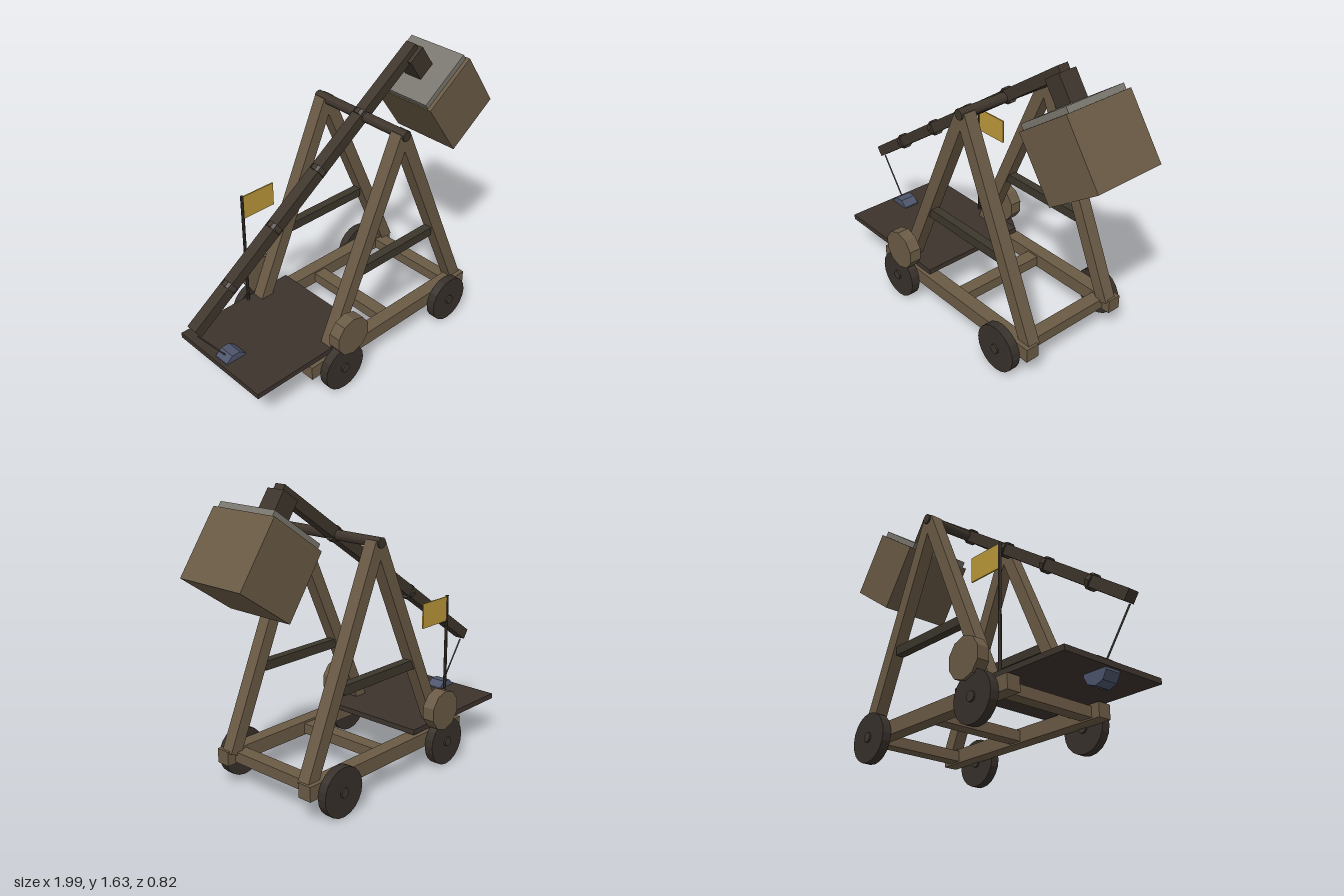
import * as THREE from 'three';

export function createModel() {
  const model = new THREE.Group();
  const mat = (name, color) => {
    const m = new THREE.MeshStandardMaterial({ color, flatShading: true });
    m.name = name;
    return m;
  };
  const wood = mat('oak wood', 0x6a5a45);
  const dark = mat('dark wood', 0x3e352c);
  const wheelWood = mat('wheel wood', 0x37302a);
  const deckWood = mat('deck wood', 0x3d332d);
  const braceWood = mat('brace wood', 0x3d372b);
  const lidStone = mat('grey stone', 0x7a766f);
  const shotStone = mat('blue stone', 0x4d546c);
  const cloth = mat('yellow cloth', 0xbb9839);
  const rope = mat('rope', 0x5c564f);

  const add = (name, geo, material, x, y, z, parent = model) => {
    const mesh = new THREE.Mesh(geo, material);
    mesh.name = name;
    mesh.position.set(x, y, z);
    parent.add(mesh);
    return mesh;
  };
  const box = (name, w, h, d, material, x, y, z, parent) =>
    add(name, new THREE.BoxGeometry(w, h, d), material, x, y, z, parent);
  // Cylinder lying along z
  const disc = (name, r, depth, sides, material, x, y, z) =>
    add(name, new THREE.CylinderGeometry(r, r, depth, sides).rotateX(Math.PI / 2), material, x, y, z);
  // Square beam between two points in the xy plane
  const beam = (name, x0, y0, x1, y1, size, material, z) => {
    const m = box(name, size, Math.hypot(x1 - x0, y1 - y0), size, material, (x0 + x1) / 2, (y0 + y1) / 2, z);
    m.rotation.z = Math.atan2(y1 - y0, x1 - x0) - Math.PI / 2;
    return m;
  };

  const pivot = [0.17, 1.33];

  // Mirrored side frames, wheels and winch drums
  for (const s of [-1, 1]) {
    box('sideRail', 1.22, 0.08, 0.08, wood, 0.1, 0.175, s * 0.303);
    beam('rearLeg', -0.345, 0.19, ...pivot, 0.072, wood, s * 0.282);
    beam('frontLeg', 0.668, 0.19, ...pivot, 0.072, wood, s * 0.282);
    box('legBrace', 0.59, 0.052, 0.05, braceWood, 0.135, 0.622, s * 0.282);
    disc('winchDrum', 0.113, 0.07, 10, wood, -0.275, 0.34, s * 0.377);
    for (const x of [-0.32, 0.525]) {
      disc('wheel', 0.135, 0.05, 20, wheelWood, x, 0.137, s * 0.37);
      disc('wheelHub', 0.027, 0.07, 10, dark, x, 0.137, s * 0.37);
    }
  }

  // Base cross beams and launching deck
  for (const x of [-0.42, 0.105, 0.62])
    box('crossBeam', 0.078, 0.06, 0.54, wood, x, 0.173, 0);
  box('deck', 0.75, 0.03, 0.65, deckWood, -0.485, 0.235, 0);
  disc('pivotAxle', 0.028, 0.655, 12, dark, ...pivot, 0);

  // Throwing arm, with its own x axis along the beam
  const arm = new THREE.Group();
  arm.name = 'throwingArm';
  arm.position.set(...pivot, 0);
  arm.rotation.z = 0.608;
  model.add(arm);
  box('armBeam', 1.87, 0.062, 0.065, dark, -0.465, 0.005, 0, arm);
  for (let i = 0; i < 4; i++)
    add('armBand', new THREE.CylinderGeometry(0.045, 0.045, 0.03, 10).rotateZ(Math.PI / 2),
      dark, -0.373 * i, 0.004, 0, arm);

  // Hanger, counterweight and lid share the arm's tilt
  const tilted = (name, w, h, d, material, x, y) => {
    box(name, w, h, d, material, x, y, 0).rotation.z = 0.608;
  };
  tilted('hanger', 0.11, 0.15, 0.112, dark, 0.565, 1.515);
  tilted('counterweight', 0.365, 0.383, 0.422, wood, 0.735, 1.267);
  tilted('counterweightLid', 0.35, 0.05, 0.376, lidStone, 0.62, 1.43);

  // Sling and shot
  const sling = new THREE.LineCurve3(new THREE.Vector3(-0.97, 0.5, 0), new THREE.Vector3(-0.79, 0.245, 0));
  add('slingRope', new THREE.TubeGeometry(sling, 1, 0.005, 6), rope, 0, 0, 0);
  disc('shot', 0.073, 0.094, 9, shotStone, -0.775, 0.22, 0);

  // Flag
  add('flagPole', new THREE.CylinderGeometry(0.009, 0.009, 0.73, 8), dark, -0.413, 0.58, -0.3);
  box('flag', 0.205, 0.138, 0.008, cloth, -0.303, 0.87, -0.3);

  return model;
}
